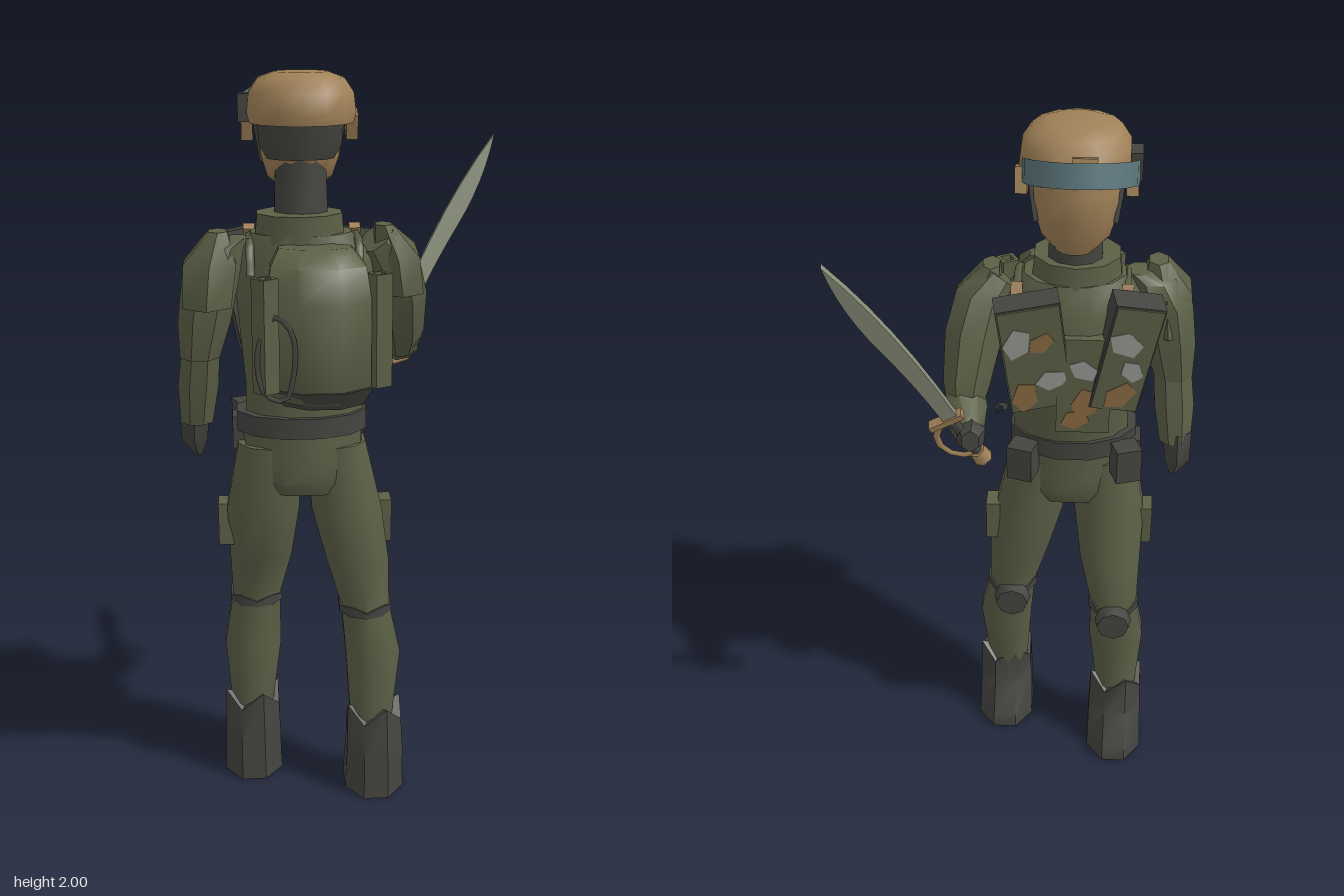
import * as THREE from 'three';
import { toCreasedNormals } from 'three/addons/utils/BufferGeometryUtils.js';

const mat = (name, color, side = THREE.FrontSide) => {
  const m = new THREE.MeshStandardMaterial({ color, side });
  m.name = name;
  return m;
};

export function createModel() {
  const olive = mat('olive cloth', 0x5b6046);
  const dark = mat('dark gear', 0x444540);
  const tan = mat('tan', 0xa08158, THREE.DoubleSide);
  const steel = mat('blade steel', 0x868b78);
  const lens = mat('goggle blue', 0x5a757a, THREE.DoubleSide);
  const grey = mat('camo grey', 0x959993);
  const brown = mat('camo brown', 0x8c6b43);
  const model = new THREE.Group();

  const add = (name, geo, material, pos = [0, 0, 0], rot = [0, 0, 0], parent = model) => {
    const m = new THREE.Mesh(geo, material);
    m.name = name;
    m.position.set(...pos);
    m.rotation.set(...rot);
    parent.add(m);
    return m;
  };
  const box = (name, material, size, pos, rot, parent) =>
    add(name, new THREE.BoxGeometry(...size), material, pos, rot, parent);

  // Skin over elliptical rings [x, y, z, rx, rz], bottom to top;
  // tilt turns the rings square to the path, zig gives a ragged top edge.
  function loft(rings, { sides = 10, tilt = false, zig = 0 } = {}) {
    const pos = [], idx = [], last = rings.length - 1;
    const centre = i => new THREE.Vector3(rings[i][0], rings[i][1], rings[i][2]);
    rings.forEach((r, i) => {
      const q = new THREE.Quaternion();
      if (tilt) {
        const dir = centre(Math.min(i + 1, last)).sub(centre(Math.max(i - 1, 0))).normalize();
        q.setFromUnitVectors(new THREE.Vector3(0, 1, 0), dir);
      }
      for (let k = 0; k < sides; k++) {
        const a = ((k + 0.5) / sides) * Math.PI * 2;
        const lift = i === last ? (k % 2 ? zig : -zig) : 0;
        const p = new THREE.Vector3(Math.cos(a) * r[3], lift, Math.sin(a) * r[4]);
        pos.push(...p.applyQuaternion(q).add(centre(i)).toArray());
      }
    });
    pos.push(...centre(0).toArray(), ...centre(last).toArray());
    const low = rings.length * sides;
    for (let k = 0; k < sides; k++) {
      const n = (k + 1) % sides, t = last * sides;
      for (let i = 0; i < last; i++) {
        const a = i * sides + k, b = i * sides + n;
        idx.push(a, a + sides, b, b, a + sides, b + sides);
      }
      idx.push(low, k, n, low + 1, t + n, t + k);
    }
    const g = new THREE.BufferGeometry();
    g.setAttribute('position', new THREE.Float32BufferAttribute(pos, 3));
    g.setIndex(idx);
    return toCreasedNormals(g, 0.75);
  }
  const tube = (name, material, pts, r, closed = false) => add(name, new THREE.TubeGeometry(
    new THREE.CatmullRomCurve3(pts.map(p => new THREE.Vector3(...p)), closed), 20, r, 5, closed), material);

  // Torso, collar and hips
  add('torso', loft([[-0.115, 1.02, 0.08, 0.16, 0.11], [-0.11, 1.2, 0.07, 0.162, 0.12], [-0.11, 1.4, 0.05, 0.18, 0.135],
    [-0.11, 1.53, 0.05, 0.19, 0.125], [-0.115, 1.6, 0.06, 0.135, 0.105]], { sides: 12 }), olive);
  add('collar', loft([[-0.12, 1.55, 0.06, 0.125, 0.11], [-0.12, 1.65, 0.065, 0.115, 0.105]]), olive);
  add('hips', loft([[-0.115, 0.91, 0.08, 0.13, 0.108], [-0.115, 0.945, 0.08, 0.152, 0.125],
    [-0.115, 1.0, 0.08, 0.163, 0.127], [-0.12, 1.08, 0.08, 0.17, 0.12]], { sides: 8 }), olive);
  add('belt', loft([[-0.12, 1.075, 0.078, 0.178, 0.128], [-0.12, 1.13, 0.078, 0.178, 0.128]], { sides: 12 }), dark);
  [[0.015, -0.04, -0.3], [-0.265, -0.035, 0.3]].forEach(([x, z, ry]) =>
    box('beltPouch', dark, [0.07, 0.1, 0.065], [x, 1.07, z], [0, ry, 0]));
  box('hipPouch', dark, [0.04, 0.09, 0.07], [-0.285, 1.06, 0.05]);

  // Legs and boots; the -x leg steps forward
  const legs = [
    { side: 'left', knee: [0.05, 0.53, -0.002], pouch: [0.105, 0.8, 0.06], foot: [0.077, 0.105], ankle: [0.077, 0.125],
      leg: [[0.068, 0.2, 0.12, 0.06, 0.06], [0.073, 0.42, 0.105, 0.08, 0.088], [0.052, 0.56, 0.09, 0.07, 0.085],
        [0.03, 0.7, 0.085, 0.09, 0.1], [0.0, 0.85, 0.08, 0.1, 0.107], [-0.03, 1.04, 0.08, 0.085, 0.1]] },
    { side: 'right', knee: [-0.25, 0.53, -0.093], pouch: [-0.33, 0.8, 0.06], foot: [-0.268, -0.022], ankle: [-0.268, 0.008],
      leg: [[-0.268, 0.2, 0.005, 0.06, 0.06], [-0.262, 0.42, 0.015, 0.083, 0.08], [-0.25, 0.56, -0.005, 0.07, 0.08],
        [-0.235, 0.7, 0.03, 0.09, 0.095], [-0.227, 0.85, 0.07, 0.103, 0.107], [-0.205, 1.04, 0.08, 0.09, 0.1]] },
  ];
  for (const { side, knee, pouch, foot: [fx, fz], ankle: [ax, az], leg } of legs) {
    add(side + 'Leg', loft(leg), olive);
    add(side + 'Boot', loft([[fx, 0, fz, 0.09, 0.124], [fx, 0.04, fz, 0.088, 0.12], [fx, 0.13, fz + 0.032, 0.086, 0.083],
      [ax, 0.24, az, 0.082, 0.073]], { sides: 8, zig: 0.025 }), dark);
    const [kx, ky, kz, krx, krz] = leg[2];
    add(side + 'KneeStrap', loft([[kx, ky - 0.018, kz, krx + 0.006, krz + 0.006], [kx, ky + 0.005, kz, krx + 0.006, krz + 0.006]],
      { zig: 0.007 }), dark);
    add(side + 'KneePad', new THREE.CylinderGeometry(0.046, 0.054, 0.035, 8), dark, knee, [-Math.PI / 2, 0, 0]);
    box(side + 'ThighPouch', olive, [0.04, 0.12, 0.065], pouch);
  }

  // Lowered arm
  add('rightUpperArm', loft([[-0.385, 1.28, 0.1, 0.056, 0.068], [-0.37, 1.38, 0.105, 0.074, 0.083], [-0.35, 1.5, 0.1, 0.08, 0.088],
    [-0.32, 1.57, 0.095, 0.06, 0.068], [-0.28, 1.59, 0.09, 0.035, 0.04]], { sides: 8 }), olive);
  add('rightShoulderPad', loft([[-0.362, 1.42, 0.115, 0.072, 0.1], [-0.352, 1.53, 0.115, 0.078, 0.092],
    [-0.33, 1.61, 0.11, 0.028, 0.04]], { sides: 6 }), olive);
  add('rightForearm', loft([[-0.4, 1.09, 0.06, 0.046, 0.05], [-0.392, 1.2, 0.08, 0.058, 0.062],
    [-0.382, 1.31, 0.1, 0.054, 0.06]], { sides: 8 }), olive);
  add('rightHand', loft([[-0.4, 0.99, 0.04, 0.012, 0.02], [-0.408, 1.04, 0.045, 0.04, 0.048],
    [-0.405, 1.12, 0.06, 0.045, 0.047]], { sides: 6 }), dark);

  // Raised arm
  add('leftUpperArm', loft([[0.165, 1.25, -0.09, 0.045, 0.05], [0.16, 1.32, -0.055, 0.066, 0.08], [0.145, 1.43, 0.005, 0.08, 0.088],
    [0.125, 1.52, 0.038, 0.076, 0.082], [0.08, 1.58, 0.06, 0.055, 0.06]], { sides: 8, tilt: true }), olive);
  add('leftShoulderPad', loft([[0.148, 1.43, 0.03, 0.068, 0.085], [0.133, 1.53, 0.045, 0.07, 0.085],
    [0.1, 1.615, 0.055, 0.025, 0.04]], { sides: 6 }), olive);
  add('leftForearm', loft([[0.167, 1.3, -0.05, 0.055, 0.05], [0.162, 1.265, -0.11, 0.06, 0.062],
    [0.145, 1.25, -0.19, 0.04, 0.042]], { sides: 8, tilt: true }), olive);
  add('leftHand', loft([[0.145, 1.25, -0.17, 0.036, 0.036], [0.14, 1.25, -0.2, 0.042, 0.046],
    [0.138, 1.255, -0.235, 0.025, 0.03]], { sides: 6, tilt: true }), dark);

  // Sword, built upright then aimed along the grip
  const sword = new THREE.Group();
  sword.name = 'sword';
  const up = new THREE.Vector3(0.34, 0.63, -0.17).normalize();
  const across = up.clone().cross(new THREE.Vector3(0, 0, 1)).normalize();
  sword.quaternion.setFromRotationMatrix(new THREE.Matrix4().makeBasis(across, up, across.clone().cross(up)));
  sword.position.set(0.115, 1.175, -0.18);
  model.add(sword);
  const edge = new THREE.Shape();
  edge.moveTo(-0.022, 0.16);
  edge.quadraticCurveTo(-0.045, 0.5, 0.0, 0.732);
  edge.quadraticCurveTo(0.036, 0.6, 0.023, 0.45);
  edge.quadraticCurveTo(0.01, 0.3, 0.018, 0.16);
  add('blade', new THREE.ExtrudeGeometry(edge, { depth: 0.018, bevelEnabled: false, curveSegments: 6 }), steel, [0, 0, -0.009], [0, 0, 0], sword);
  add('grip', new THREE.CylinderGeometry(0.014, 0.014, 0.16, 6), dark, [0, 0.08, 0], [0, 0, 0], sword);
  add('pommel', new THREE.CylinderGeometry(0.022, 0.026, 0.035, 6), tan, [0, 0.005, 0], [0, 0, 0], sword);
  box('crossGuard', tan, [0.095, 0.016, 0.03], [0.012, 0.16, 0], [0, 0, 0], sword);
  add('knuckleGuard', new THREE.TorusGeometry(0.072, 0.009, 4, 6, Math.PI), tan, [0, 0.088, 0], [0, 0, -Math.PI / 2], sword);

  // Backpack with hollow side tubes and hose
  add('backpack', loft([[-0.078, 1.2, 0.24, 0.12, 0.08], [-0.078, 1.24, 0.24, 0.14, 0.1], [-0.078, 1.46, 0.24, 0.14, 0.1],
    [-0.08, 1.54, 0.22, 0.13, 0.085], [-0.085, 1.58, 0.19, 0.1, 0.05]], { sides: 8 }), olive);
  add('packBase', loft([[-0.07, 1.185, 0.23, 0.11, 0.08], [-0.075, 1.235, 0.24, 0.143, 0.104]], { sides: 8 }), dark);
  const square = r => [[-r, -r], [r, -r], [r, r], [-r, r]].map(p => new THREE.Vector2(...p));
  const tubeSection = new THREE.Shape(square(0.024));
  tubeSection.holes.push(new THREE.Path(square(0.014).reverse()));
  [[-0.215, 0.31, 0.7], [0.072, 0.26, 0.5]].forEach(([x, z, ry]) => add('packTube',
    new THREE.ExtrudeGeometry(tubeSection, { depth: 0.29, bevelEnabled: false }).rotateX(-Math.PI / 2), olive, [x, 1.235, z], [0, ry, 0]));
  tube('packHose', dark, [[-0.19, 1.43, 0.32], [-0.235, 1.35, 0.33], [-0.22, 1.24, 0.335], [-0.17, 1.22, 0.335],
    [-0.145, 1.3, 0.335], [-0.15, 1.39, 0.33]], 0.007, true);
  [-0.25, 0.03].forEach(x => {
    tube('shoulderStrap', olive, [[x, 1.5, 0.165], [x, 1.565, 0.135], [x, 1.585, 0.06], [x, 1.565, -0.03], [x, 1.48, -0.08]], 0.012);
    box('strapBuckle', tan, [0.03, 0.035, 0.025], [x, 1.585, -0.025], [0.5, 0, 0]);
  });
  tube('slungRod', dark, [[0.07, 1.18, 0.05], [0.08, 1.22, -0.02], [0.07, 1.26, -0.09]], 0.012);

  // Chest rig: dark slanted panels with camouflage faces, joined by a centre piece
  const patch = (parent, [material, x, y, r, turn], z) => add('camoPatch',
    new THREE.CylinderGeometry(r, r, 0.004, 5).rotateX(Math.PI / 2).scale(0.85, 1.2, 1), material, [x, y, z], [0, 0, turn], parent);
  function chestPanel(name, [w, h, d], pos, rot, patches) {
    const panel = new THREE.Group();
    panel.name = name;
    panel.position.set(...pos);
    panel.rotation.set(...rot);
    model.add(panel);
    box(name + 'Body', dark, [w, h, d], [0, 0, 0], [0, 0, 0], panel);
    box(name + 'Face', olive, [w - 0.008, h - 0.008, 0.006], [0, 0, -d / 2 - 0.002], [0, 0, 0], panel);
    patches.forEach(p => patch(panel, p, -d / 2 - 0.005));
  }
  chestPanel('leftChestPanel', [0.165, 0.32, 0.07], [-0.015, 1.43, -0.073], [-0.1, 0.16, -0.12],
    [[grey, 0.04, 0.06, 0.042, 0.4], [brown, -0.02, 0.05, 0.032, 1], [brown, 0.04, -0.11, 0.042, 0.2], [grey, -0.035, -0.07, 0.037, 1.5]]);
  chestPanel('rightChestPanel', [0.13, 0.32, 0.075], [-0.248, 1.43, -0.062], [-0.1, 0.16, 0.2],
    [[grey, 0.015, 0.05, 0.042, 2], [brown, -0.005, -0.11, 0.042, 0.7], [grey, -0.02, -0.03, 0.032, 2.4]]);
  box('chestCentre', olive, [0.14, 0.28, 0.07], [-0.145, 1.34, -0.06]);
  [[brown, -0.15, 1.29, 0.042, 0.3], [brown, -0.125, 1.24, 0.034, 1.2], [grey, -0.145, 1.39, 0.034, 2]].forEach(p => patch(model, p, -0.096));

  // Neck, head and dark hood
  add('neck', loft([[-0.115, 1.56, 0.05, 0.075, 0.07], [-0.115, 1.79, 0.045, 0.068, 0.065]]), dark);
  add('head', loft([[-0.115, 1.7, -0.03, 0.045, 0.035], [-0.115, 1.735, 0.0, 0.087, 0.08], [-0.115, 1.79, 0.01, 0.104, 0.106],
    [-0.115, 1.86, 0.0, 0.108, 0.105], [-0.115, 1.92, 0.01, 0.105, 0.1]], { sides: 12 }), tan);
  add('hood', loft([[-0.115, 1.785, 0.055, 0.088, 0.066], [-0.115, 1.82, 0.05, 0.109, 0.08], [-0.115, 1.89, 0.055, 0.115, 0.085]],
    { sides: 12 }), dark);

  // Helmet, headset and raised goggles
  add('helmet', loft([[-0.112, 1.875, 0.05, 0.135, 0.145], [-0.112, 1.9, 0.05, 0.142, 0.151], [-0.112, 1.95, 0.05, 0.136, 0.144],
    [-0.112, 1.985, 0.055, 0.112, 0.115], [-0.112, 2.0, 0.055, 0.07, 0.07]], { sides: 14 }), tan);
  box('helmetMount', tan, [0.06, 0.05, 0.045], [-0.135, 1.94, -0.095], [0.3, 0, 0]);
  [-1, 1].forEach(s => {
    box('earCup', tan, [0.03, 0.065, 0.05], [-0.115 + s * 0.135, 1.865, 0.01], [0.3, 0, 0]);
    box('chinStrap', dark, [0.012, 0.1, 0.025], [-0.115 + s * 0.105, 1.82, -0.01], [0.3, 0, s * -0.15]);
  });
  box('helmetClip', dark, [0.03, 0.07, 0.06], [-0.258, 1.91, 0.02]);
  [['goggleLens', lens, 0.142, 0.06], ['goggleFrame', tan, 0.132, 0.056]].forEach(([name, m, r, h]) =>
    add(name, new THREE.CylinderGeometry(r, r, h, 10, 1, true, Math.PI / 2, Math.PI), m, [-0.125, 1.9, -0.01], [0.3, 0, 0]));

  return model;
}
